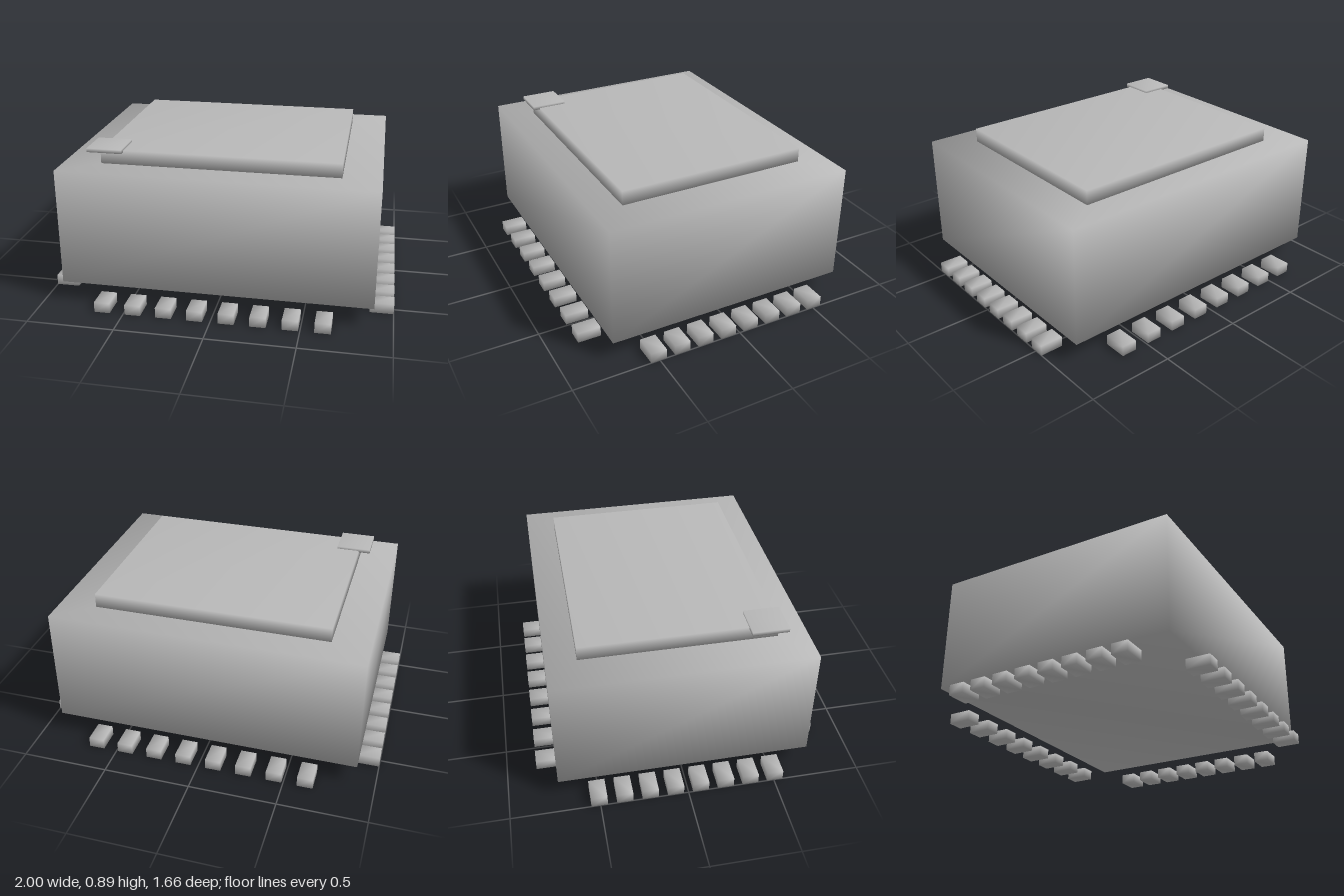
import * as THREE from 'three';
import { mergeVertices } from 'three/addons/utils/BufferGeometryUtils.js';

const grey = new THREE.MeshStandardMaterial({ name: 'grey', color: 0xb8b8b8 });

// Box with shared corners, so that the normals blend smoothly around it
function softBox(w, h, d) {
  const box = new THREE.BoxGeometry(w, h, d);
  box.deleteAttribute('normal');
  box.deleteAttribute('uv');
  const geometry = mergeVertices(box);
  geometry.clearGroups();
  geometry.computeVertexNormals();
  return geometry;
}

export function createModel() {
  const model = new THREE.Group();
  model.name = 'chipPackage';

  function add(name, geometry, x, y, z, parent = model) {
    const mesh = new THREE.Mesh(geometry, grey);
    mesh.name = name;
    mesh.position.set(x, y, z);
    parent.add(mesh);
  }

  // Main body, raised top plate and corner marker
  add('body', softBox(1.78, 0.68, 1.44), 0, 0.455, 0);
  add('topPlate', softBox(1.35, 0.084, 1.1), 0, 0.835, 0);
  add('cornerMarker', softBox(0.2, 0.022, 0.205), -0.643, 0.88, 0.486);

  // Contact pads: eight along each of the four sides
  const pads = new THREE.Group();
  pads.name = 'contactPads';
  model.add(pads);
  const endPad = softBox(0.09, 0.06, 0.135);
  const sidePad = softBox(0.135, 0.06, 0.092);
  for (let i = 0; i < 8; i++) {
    const t = i - 3.5;
    for (const s of [-1, 1]) {
      add(s > 0 ? 'frontPad' : 'backPad', endPad, t * 0.178, 0.03, s * 0.764, pads);
      add(s > 0 ? 'leftPad' : 'rightPad', sidePad, s * 0.9325, 0.03, t * 0.1445, pads);
    }
  }
  return model;
}
